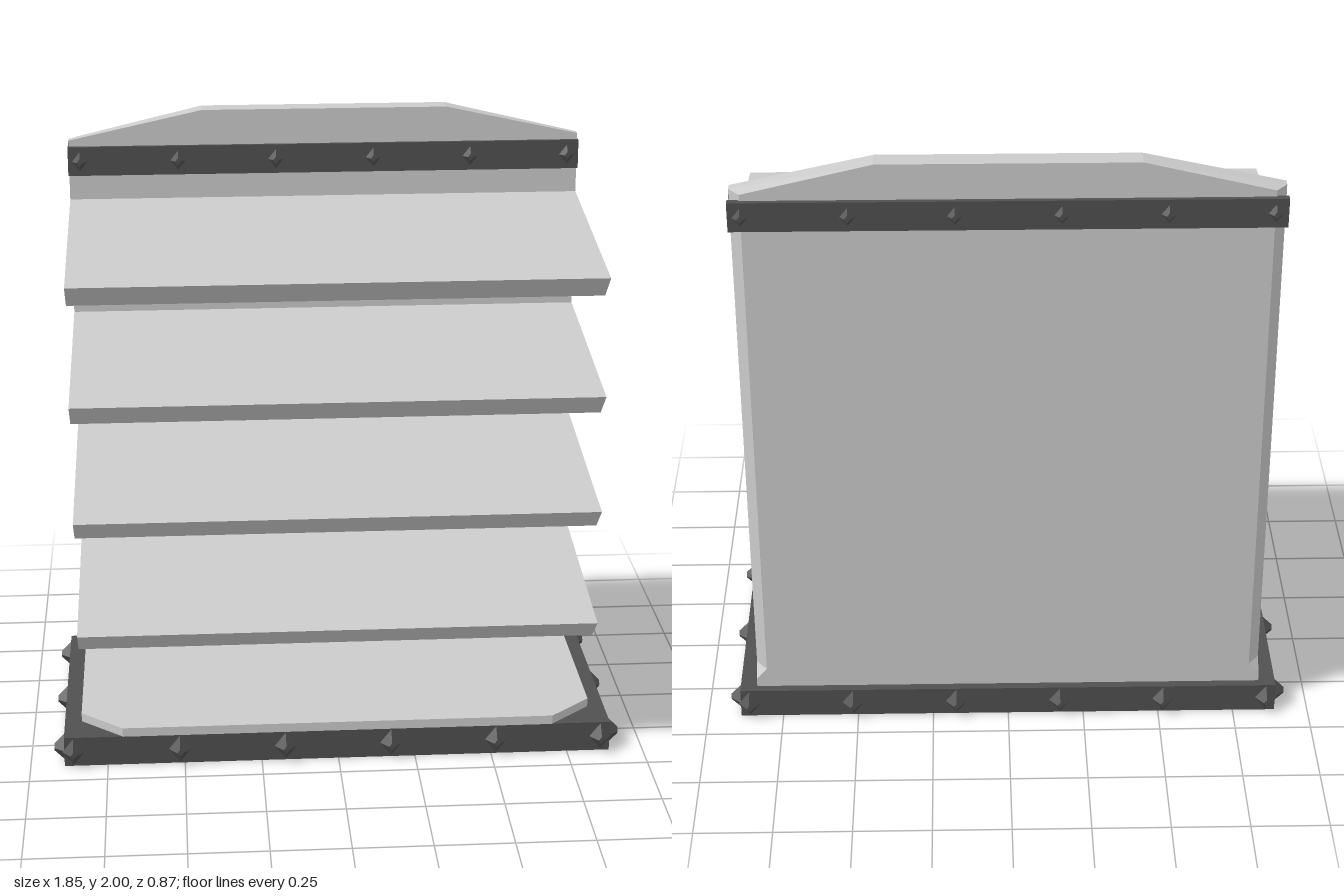
import * as THREE from 'three';
import { ConvexGeometry } from 'three/addons/geometries/ConvexGeometry.js';

const grey = new THREE.MeshStandardMaterial({ color: 0xcccccc, flatShading: true });
const dark = new THREE.MeshStandardMaterial({ color: 0x505050, flatShading: true });

export function createModel() {
  const model = new THREE.Group();

  const add = (name, geometry, material) => {
    const mesh = new THREE.Mesh(geometry, material);
    mesh.name = name;
    model.add(mesh);
    return mesh;
  };
  const box = (name, x, y0, y1, z0, z1, material) =>
    add(name, new THREE.BoxGeometry(2 * x, y1 - y0, z1 - z0), material)
      .position.set(0, (y0 + y1) / 2, (z0 + z1) / 2);
  const hull = (name, points, material) =>
    add(name, new ConvexGeometry(points.map((p) => new THREE.Vector3(...p))), material);
  const outline = (points) => new THREE.Shape(points.map((p) => new THREE.Vector2(...p)));

  // Diamond rivet, its tip pointing along +z before turning
  const studGeometry = new THREE.CylinderGeometry(0.012, 0.048, 0.035, 4);
  studGeometry.rotateX(Math.PI / 2);
  studGeometry.scale(0.78, 1, 1);
  const stud = (name, x, y, z, turn) => {
    const mesh = add(name, studGeometry, dark);
    mesh.position.set(x, y, z);
    mesh.rotation.y = turn;
  };

  // Base frame with rivets on all four sides
  box('baseFrame', 0.89, 0, 0.1, -0.4, 0.4, dark);
  for (let i = 0; i < 6; i++) {
    const x = -0.86 + i * 0.344;
    stud('baseFrontStud', x, 0.05, 0.416, 0);
    stud('baseBackStud', x, 0.05, -0.416, Math.PI);
  }
  for (const side of [-1, 1]) {
    for (const z of [-0.36, 0, 0.36]) {
      stud('baseSideStud', side * 0.906, 0.05, z, side * Math.PI / 2);
    }
  }

  // Bottom deck with cut front corners
  const deck = new THREE.ExtrudeGeometry(outline([
    [-0.835, 0.34], [-0.835, -0.28], [-0.7, -0.4], [0.7, -0.4], [0.835, -0.28], [0.835, 0.34],
  ]), { depth: 0.03, bevelEnabled: false });
  deck.rotateX(-Math.PI / 2);
  deck.translate(0, 0.099, 0);
  add('bottomDeck', deck, grey);

  // Back panel with a raised crown and bevelled rear edges
  const panel = [];
  for (const [z, x] of [[-0.302, 0.835], [-0.33, 0.835], [-0.372, 0.8]]) {
    for (const side of [-1, 1]) {
      panel.push([side * x, 0.09, z], [side * x, 1.905, z], [side * 0.4, 2, z]);
    }
  }
  hull('backPanel', panel, grey);

  // The rear bevels run out into small feet
  for (const s of [-1, 1]) {
    hull('panelFoot', [
      [s * 0.835, 0.1, -0.32], [s * 0.835, 0.1, -0.372], [s * 0.79, 0.1, -0.372],
      [s * 0.835, 0.13, -0.372], [s * 0.835, 0.17, -0.33], [s * 0.8, 0.17, -0.372],
    ], grey);
  }

  // Four sloping shelves with undercut front edges
  const shelfGeometry = new THREE.ExtrudeGeometry(outline([
    [0.305, 0], [0.305, 0.092], [-0.41, -0.003], [-0.32, -0.085],
  ]), { depth: 1.67, bevelEnabled: false });
  shelfGeometry.translate(0, 0, -0.835);
  shelfGeometry.rotateY(Math.PI / 2);
  for (let i = 0; i < 4; i++) {
    add('shelf', shelfGeometry, grey).position.y = 0.462 + i * 0.385;
  }

  // Riveted rails across the front and back of the panel top
  box('frontRail', 0.838, 1.79, 1.885, -0.31, -0.29, dark);
  box('backRail', 0.838, 1.79, 1.885, -0.388, -0.365, dark);
  for (let i = 0; i < 6; i++) {
    const x = -0.8 + i * 0.32;
    stud('frontRailStud', x, 1.837, -0.288, 0);
    stud('backRailStud', x, 1.837, -0.388, Math.PI);
  }

  return model;
}
